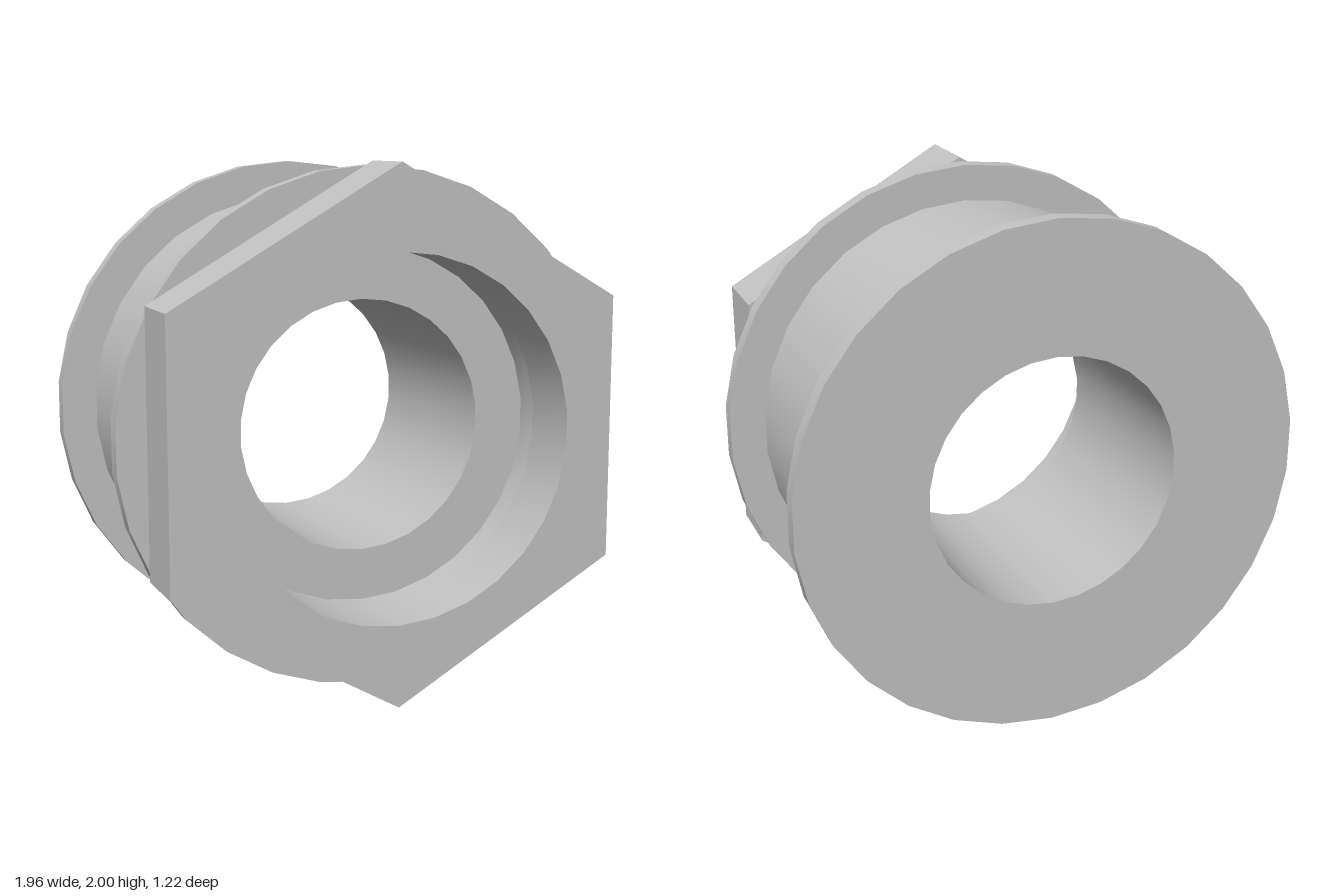
import * as THREE from 'three';
import { toCreasedNormals } from 'three/addons/utils/BufferGeometryUtils.js';

const SIDES = 30;
const BACK = -0.612, FRONT = 0.612;
const NUT_BACK = 0.342, LEDGE = 0.242;
const BORE = 0.485, COUNTERBORE = 0.685, BARREL = 0.845, FLANGE = 0.985;

// Points of a regular polygon with one corner at the top
function ring(radius, sides) {
  return Array.from({ length: sides }, (_, i) => {
    const a = Math.PI / 2 + (i / sides) * Math.PI * 2;
    return new THREE.Vector2(radius * Math.cos(a), radius * Math.sin(a));
  });
}

// Turn a profile of [radius, z] pairs around the z axis, keeping corners sharp
function turned(profile) {
  const points = profile.map(([r, z]) => new THREE.Vector2(r, z));
  const geometry = new THREE.LatheGeometry(points, SIDES);
  geometry.rotateX(Math.PI / 2);
  return toCreasedNormals(geometry, Math.PI / 6);
}

export function createModel() {
  const metal = new THREE.MeshStandardMaterial({ color: 0xc2c2c2 });
  metal.name = 'grey metal';
  const group = new THREE.Group();
  group.name = 'hexFitting';

  function add(name, geometry) {
    const mesh = new THREE.Mesh(geometry, metal);
    mesh.name = name;
    mesh.position.y = 1;
    group.add(mesh);
  }

  // Rear flange with its flat back face
  add('rearFlange', turned([[BORE, BACK], [FLANGE, BACK], [FLANGE, -0.545], [BARREL, -0.545]]));

  // Cylindrical barrel between the flanges
  add('barrel', turned([[BARREL, -0.545], [BARREL, 0.275]]));

  // Front flange behind the nut
  add('frontFlange', turned([[BARREL, 0.275], [FLANGE, 0.275], [FLANGE, NUT_BACK], [COUNTERBORE, NUT_BACK]]));

  // Stepped through-hole
  add('bore', turned([[COUNTERBORE, NUT_BACK], [COUNTERBORE, LEDGE], [BORE, LEDGE], [BORE, BACK]]));

  // Hexagonal nut with the wide end of the hole
  const hex = new THREE.Shape(ring(1, 6));
  hex.holes.push(new THREE.Path(ring(COUNTERBORE, SIDES)));
  const nut = new THREE.ExtrudeGeometry(hex, { depth: FRONT - NUT_BACK, bevelEnabled: false });
  nut.translate(0, 0, NUT_BACK);
  add('hexNut', toCreasedNormals(nut, Math.PI / 6));

  return group;
}
